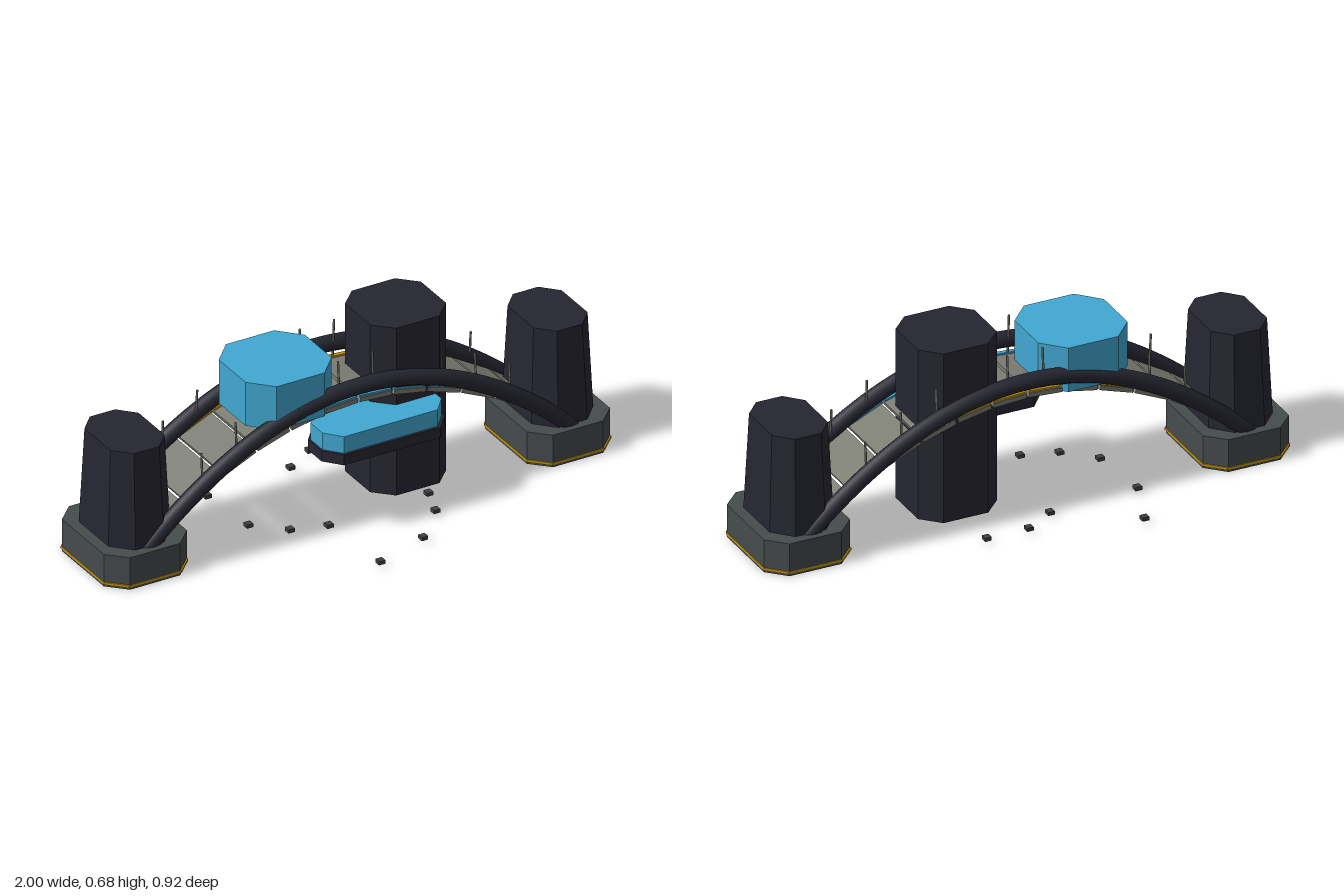
import * as THREE from 'three';

const ZC = -0.05; // centre line of the bridge

function material(name, color) {
  const m = new THREE.MeshStandardMaterial({ color });
  m.name = name;
  return m;
}

// Upright prism with chamfered corners; taper is the scale of its top
function chamferPrism(hx, hz, cx, cz, y0, y1, taper = 1) {
  const s = new THREE.Shape();
  s.moveTo(hx, -hz + cz);
  s.lineTo(hx, hz - cz);
  s.lineTo(hx - cx, hz);
  s.lineTo(-hx + cx, hz);
  s.lineTo(-hx, hz - cz);
  s.lineTo(-hx, -hz + cz);
  s.lineTo(-hx + cx, -hz);
  s.lineTo(hx - cx, -hz);
  s.closePath();
  const g = new THREE.ExtrudeGeometry(s, { depth: y1 - y0, bevelEnabled: false });
  g.rotateX(-Math.PI / 2);
  const p = g.attributes.position;
  for (let i = 0; i < p.count; i++) {
    if (p.getY(i) > 1e-4) {
      p.setX(i, p.getX(i) * taper);
      p.setZ(i, p.getZ(i) * taper);
    }
  }
  g.translate(0, y0, 0);
  g.computeVertexNormals();
  return g;
}

export function createModel() {
  const model = new THREE.Group();
  const navy = material('dark navy', 0x262632);
  const stone = material('base grey', 0x464b4d);
  const deckGrey = material('deck grey', 0x7b7d73);
  const blue = material('light blue', 0x42a8d2);
  const gold = material('gold', 0xc8960c);
  const rubble = material('rubble grey', 0x404042);

  const add = (name, geometry, mat, x = 0, y = 0, z = 0) => {
    const mesh = new THREE.Mesh(geometry, mat);
    mesh.name = name;
    mesh.position.set(x, y, z);
    model.add(mesh);
    return mesh;
  };

  // Heights of the rail arch and the deck arch
  const railY = (x) => 0.505 - 0.56 * x * x;
  const deckY = (x) => 0.447 - 0.48 * x * x;

  // End bases with gold trim and tapered towers
  for (const side of [-1, 1]) {
    const x = side * 0.835;
    add('base', chamferPrism(0.164, 0.206, 0.065, 0.065, 0, 0.125), stone, x, 0, ZC);
    add('baseTrim', chamferPrism(0.166, 0.208, 0.062, 0.062, 0.009, 0.018), gold, x, 0, ZC);
    add('tower', chamferPrism(0.122, 0.17, 0.065, 0.07, 0.125, 0.49, 0.875), navy, x, 0, ZC);
  }

  // Arched tubes along both edges
  const points = [];
  for (let i = 0; i <= 24; i++) {
    const x = -0.85 + (1.7 * i) / 24;
    points.push(new THREE.Vector3(x, railY(x), 0));
  }
  const tube = new THREE.TubeGeometry(new THREE.CatmullRomCurve3(points), 48, 0.03, 10);
  for (const side of [-1, 1]) add('archTube', tube, navy, 0, 0, ZC + side * 0.155);

  // Deck planks, light strips and rail posts
  const step = 0.135;
  for (let i = 0; i < 12; i++) {
    const x = (i - 5.5) * step;
    const y = deckY(x);
    const angle = Math.atan(-0.96 * x);
    const length = step / Math.cos(angle) - 0.01;
    add('deckPlank', new THREE.BoxGeometry(length, 0.017, 0.31), deckGrey, x, y, ZC).rotation.z = angle;
    for (const side of [-1, 1]) {
      const strip = add('lightStrip', new THREE.BoxGeometry(length, 0.007, 0.016),
        side > 0 ? blue : gold, x, y + 0.012, ZC + side * 0.143);
      strip.rotation.z = angle;
      if (i > 0 && i < 11) {
        const top = railY(x) + 0.105;
        const post = add('railPost', new THREE.CylinderGeometry(0.004, 0.004, top - y, 6),
          deckGrey, x, (top + y) / 2, ZC + side * 0.134);
        post.rotation.x = -side * 0.07;
      }
    }
  }

  // Tall central pylon and the block on the deck
  add('pylon', chamferPrism(0.15, 0.15, 0.065, 0.065, 0.03, 0.685), navy, 0.235, 0, ZC);
  add('deckBlock', chamferPrism(0.17, 0.17, 0.075, 0.08, 0.435, 0.605), blue, -0.24, 0, ZC);

  // Side platform with its dark underside
  add('platformTop', chamferPrism(0.235, 0.1, 0.05, 0.06, 0.32, 0.385), blue, 0.07, 0, 0.1);
  add('platformBottom', chamferPrism(0.243, 0.108, 0.052, 0.062, 0.28, 0.32), navy, 0.07, 0, 0.102);

  // Scattered rubble
  const spots = [
    [-0.32, -0.45], [-0.05, -0.27], [0.065, -0.34], [0.225, -0.34], [-0.395, -0.245], [0.225, 0.235],
    [0.095, 0.375], [-0.115, 0.445], [-0.375, 0], [-0.27, 0.1], [-0.14, 0.14], [0.265, 0.12],
  ];
  const chunk = new THREE.BoxGeometry(0.025, 0.014, 0.025);
  for (const [x, z] of spots) add('rubble', chunk, rubble, x, 0.018, z);

  return model;
}
